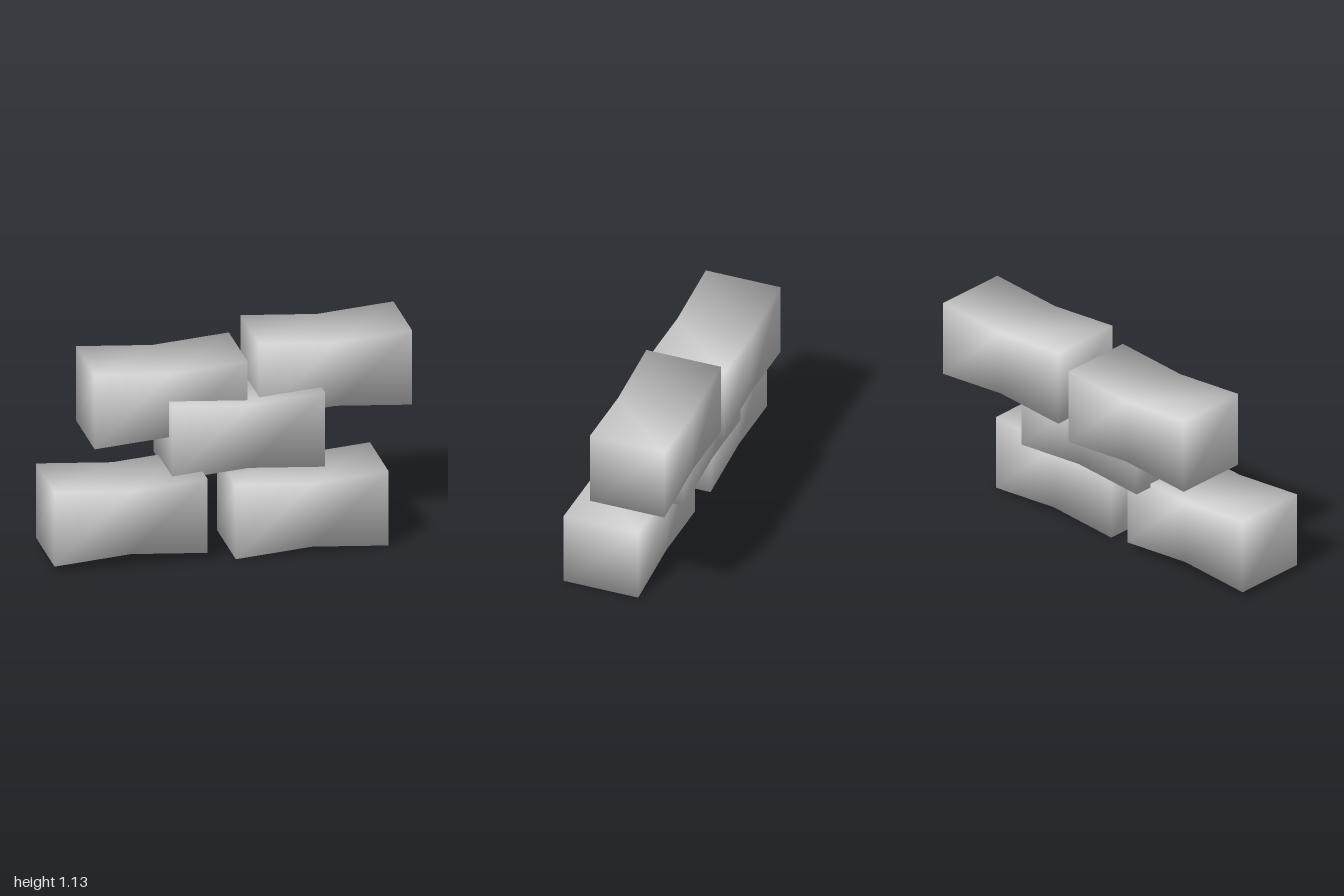
import * as THREE from 'three';
import { mergeVertices } from 'three/addons/utils/BufferGeometryUtils.js';

const LENGTH = 0.836, SIZE = 0.425, WAIST = 0.36;

// Box whose middle section is pinched in height, with shared smooth normals
function pinchedBlock() {
  const box = new THREE.BoxGeometry(LENGTH, SIZE, SIZE, 2, 1, 1);
  box.deleteAttribute('uv');
  box.deleteAttribute('normal');
  const geometry = mergeVertices(box);
  const p = geometry.attributes.position;
  for (let i = 0; i < p.count; i++) {
    if (Math.abs(p.getX(i)) < 0.01) p.setY(i, Math.sign(p.getY(i)) * WAIST / 2);
  }
  geometry.computeVertexNormals();
  return geometry;
}

export function createModel() {
  const model = new THREE.Group();
  model.name = 'blockPile';
  const geometry = pinchedBlock();
  const material = new THREE.MeshStandardMaterial({ color: 0xcccccc });

  // Centre of each block, from the bottom of the pile up
  const blocks = {
    lowerRightBlock: [-0.582, 0.25, 0.077],
    lowerLeftBlock: [0.401, 0.2125, 0.11],
    middleBlock: [0.087, 0.639, -0.03],
    upperRightBlock: [-0.32, 0.828, -0.1],
    upperLeftBlock: [0.582, 0.917, -0.109],
  };
  for (const [name, centre] of Object.entries(blocks)) {
    const block = new THREE.Mesh(geometry, material);
    block.name = name;
    block.position.set(...centre);
    model.add(block);
  }
  return model;
}
